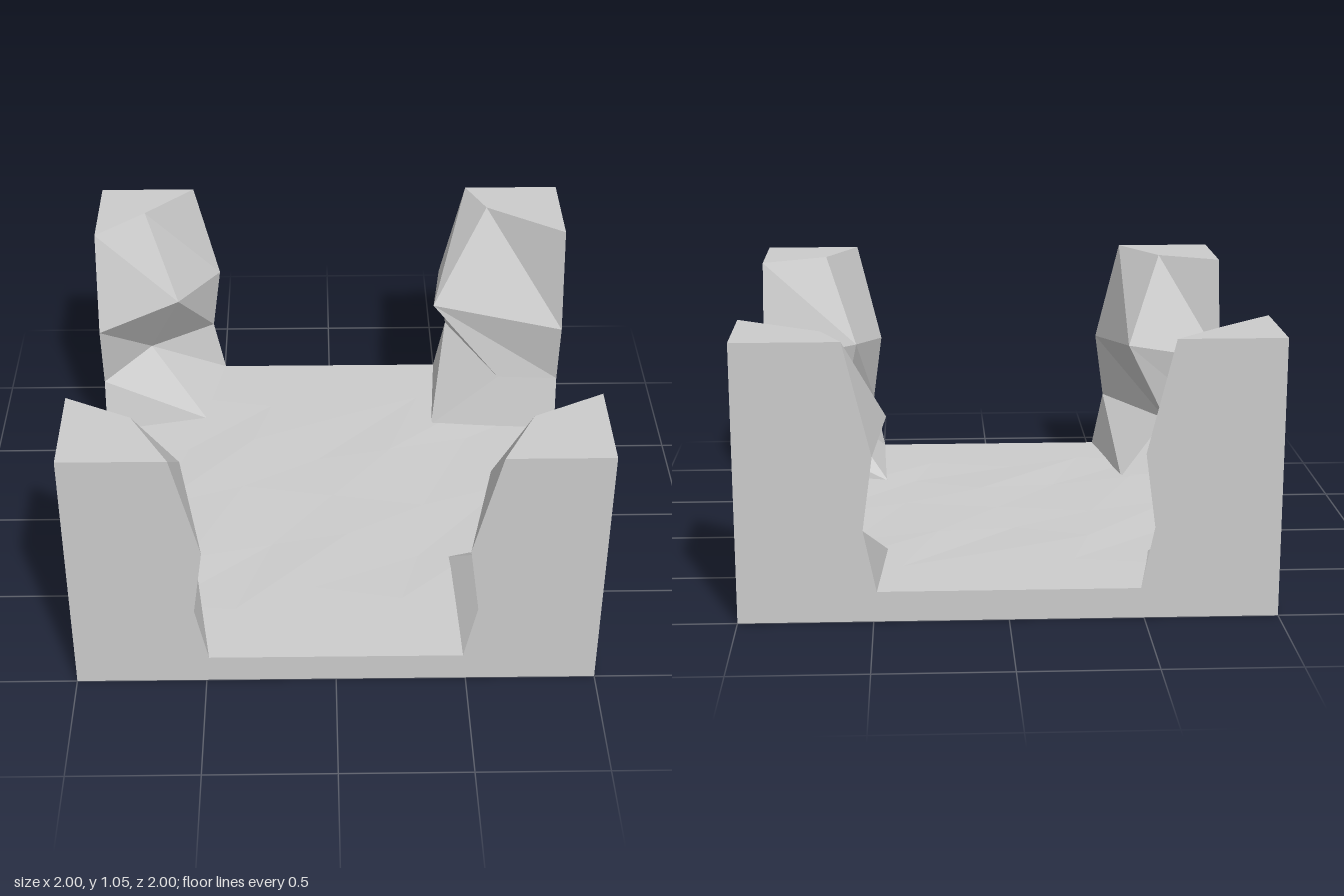
import * as THREE from 'three';

const FLOOR = 0.115;
// Height and edge position of the pillar walls, level by level
const LEVELS = [[FLOOR, 0.487], [0.35, 0.535], [0.63, 0.497], [1.055, 0.6]];

// Inward-facing corner [x, y, z] of each pillar, level by level
const PILLARS = [
  { name: 'backRightPillar', sx: -1, sz: -1, inner: [[-0.56, FLOOR, -0.58], [-0.81, 0.35, -0.82], [-0.665, 0.69, -0.65], [-0.8, 1.055, -0.79]] },
  { name: 'backLeftPillar', sx: 1, sz: -1, inner: [[0.45, FLOOR, -0.52], [0.74, 0.35, -0.55], [0.45, 0.68, -0.62], [0.68, 1.055, -0.82]] },
  { name: 'frontRightPillar', sx: -1, sz: 1, inner: [[-0.565, FLOOR, 0.43], [-0.77, 0.35, 0.54], [-0.6, 0.69, 0.515], [-0.75, 1.055, 0.73]] },
  { name: 'frontLeftPillar', sx: 1, sz: 1, inner: [[0.465, FLOOR, 0.41], [0.67, 0.35, 0.67], [0.6, 0.69, 0.59], [0.73, 1.055, 0.74]] },
];

// Rough stone pillar: four-cornered rings stacked and capped
function pillarGeometry({ sx, sz, inner }) {
  const rings = LEVELS.map(([y, e], i) => {
    const onX = [sx, y, sz * e];
    const onZ = [sx * e, y, sz];
    const [left, right] = sx === sz ? [onX, onZ] : [onZ, onX];
    return [[sx, y, sz], left, inner[i], right];
  });
  const pos = [];
  const tri = (a, b, c) => pos.push(...a, ...b, ...c);
  for (let i = 0; i < rings.length - 1; i++) {
    const lo = rings[i], up = rings[i + 1];
    for (let k = 0; k < 4; k++) {
      const n = (k + 1) % 4;
      tri(lo[k], lo[n], up[k]);
      tri(lo[n], up[n], up[k]);
    }
  }
  const [o, l, m, r] = rings[rings.length - 1];
  tri(o, l, m);
  tri(o, m, r);
  const geo = new THREE.BufferGeometry();
  geo.setAttribute('position', new THREE.Float32BufferAttribute(pos, 3));
  geo.computeVertexNormals();
  return geo;
}

// Slab whose upper face is very slightly uneven away from its rim
function slabGeometry() {
  let geo = new THREE.BoxGeometry(2, FLOOR, 2, 6, 1, 6);
  geo.translate(0, FLOOR / 2, 0);
  geo = geo.toNonIndexed();
  const p = geo.attributes.position;
  for (let i = 0; i < p.count; i++) {
    const x = p.getX(i), y = p.getY(i), z = p.getZ(i);
    if (y < FLOOR - 0.01 || Math.max(Math.abs(x), Math.abs(z)) > 0.99) continue;
    p.setXYZ(i, x + 0.08 * Math.sin(7 * z + 2 * x), y + 0.004 + 0.004 * Math.sin(9 * x + 5 * z), z + 0.08 * Math.sin(6 * x - 3 * z));
  }
  geo.computeVertexNormals();
  return geo;
}

export function createModel() {
  const stone = new THREE.MeshStandardMaterial({ color: 0xcccccc });
  stone.name = 'greyStone';
  stone.flatShading = true;

  const model = new THREE.Group();
  model.name = 'fourPillarBlock';
  const add = (name, geo) => {
    const mesh = new THREE.Mesh(geo, stone);
    mesh.name = name;
    model.add(mesh);
  };

  add('floorSlab', slabGeometry());
  for (const pillar of PILLARS) add(pillar.name, pillarGeometry(pillar));
  return model;
}
